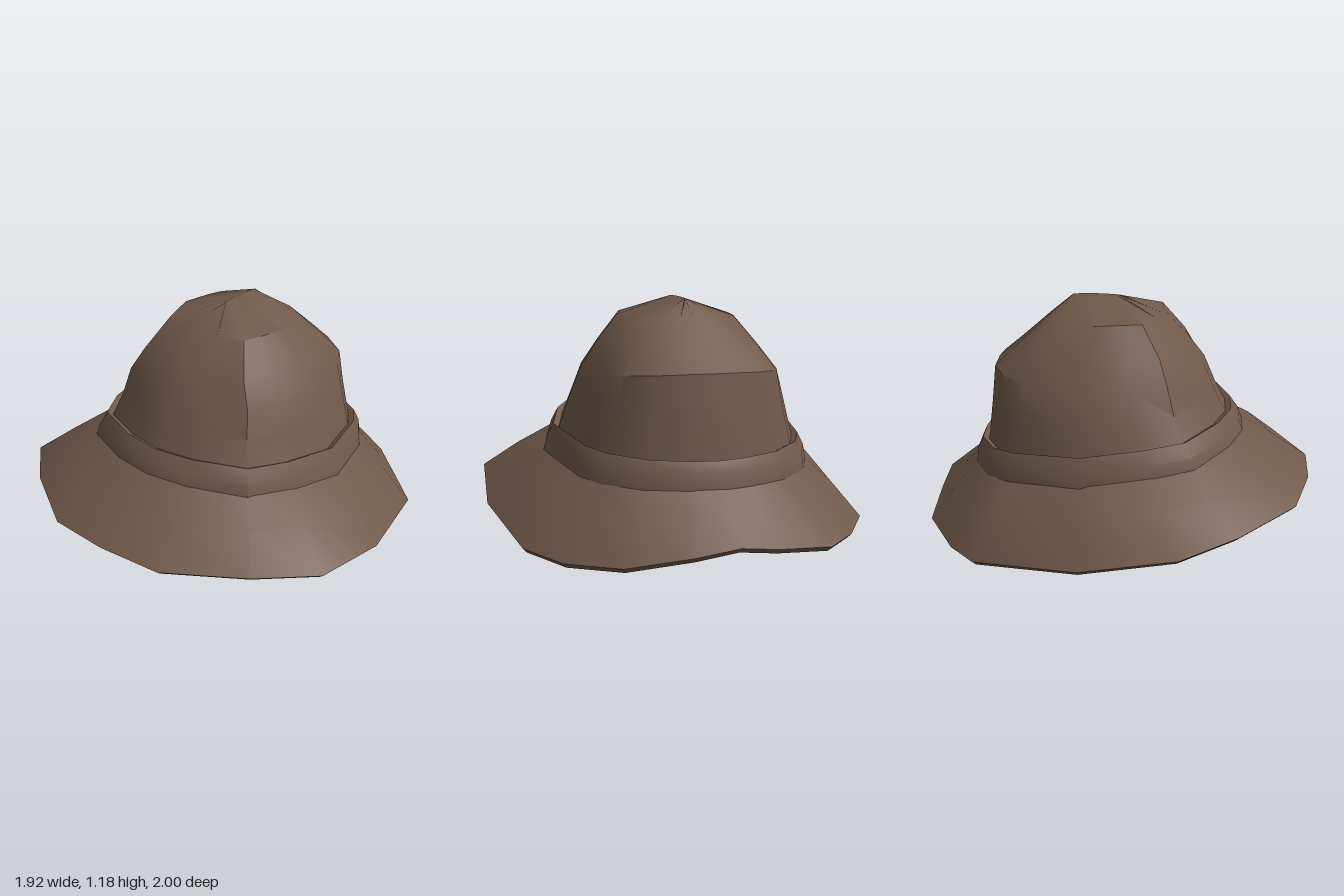
import * as THREE from 'three';
import { toCreasedNormals } from 'three/addons/utils/BufferGeometryUtils.js';

// Half outline of the brim edge, from front to back: x, y, z
const EDGE = [
  [0, 0.285, 1], [0.32, 0.27, 0.965], [0.68, 0.26, 0.74], [0.92, 0.24, 0.51], [0.96, 0.135, 0.05],
  [0.87, 0.055, -0.5], [0.72, 0.025, -0.68], [0.5, 0.045, -0.89], [0.2, 0.085, -0.965], [0, 0.12, -1],
];
// How far each column stands out from a plain oval, giving soft corners
const CORNER = [0, 0, 0.05, 0, 0, 0.01, 0.04, 0.03, 0, 0];

// Complete a half ring by mirroring it to -x
function mirror(half) {
  const back = half.slice(1, -1).reverse().map(([x, y, z]) => [-x, y, z]);
  return [...half, ...back];
}

// Tilted oval: half width, front z, back z, heights at front, side and back, squareness
function ring([w, zf, zb, yf, ys, yb, square = 1]) {
  return mirror(EDGE.map(([ex, , ez], i) => {
    const a = Math.atan2(ex, ez), t = Math.cos(a), k = 1 + CORNER[i] * square;
    const y = ys + (yf - yb) / 2 * t + ((yf + yb) / 2 - ys) * t * t;
    return [w * k * Math.sin(a), y, (zf + zb) / 2 + (zf - zb) / 2 * k * t];
  }));
}

// Ring halfway between two others, arched a little towards the sides
const between = (a, b) => a.map(([x, y, z], i) => {
  const mx = (x + b[i][0]) / 2;
  return [mx, (y + b[i][1]) / 2 + 0.03 * Math.abs(mx), (z + b[i][2]) / 2];
});

// Skin a list of rings
function skin(rings) {
  const n = rings[0].length, index = [];
  for (let i = 0; i < rings.length - 1; i++) {
    for (let j = 0; j < n; j++) {
      const k = (j + 1) % n;
      const a = i * n + j, b = a + n, c = (i + 1) * n + k, d = i * n + k;
      index.push(a, b, c, a, c, d);
    }
  }
  const geo = new THREE.BufferGeometry();
  geo.setAttribute('position', new THREE.Float32BufferAttribute(rings.flat(2), 3));
  geo.setIndex(index);
  return toCreasedNormals(geo, 0.6);
}

export function createModel() {
  const hat = new THREE.Group();
  hat.name = 'hat';
  const felt = new THREE.MeshStandardMaterial({ color: 0x70594a });
  felt.name = 'brown felt';

  const add = (name, rings) => {
    const mesh = new THREE.Mesh(skin(rings), felt);
    mesh.name = name;
    hat.add(mesh);
  };

  // Crown: a short ridge on top, widening down to the band
  add('crown', [
    [0, 0, -0.25, 1.18, 1.18, 1.17],
    [0.3, 0.22, -0.36, 1.1, 1.09, 1.08, 2.5],
    [0.41, 0.36, -0.52, 0.95, 0.95, 0.94, 2],
    [0.5, 0.44, -0.64, 0.85, 0.82, 0.84, 1.5],
    [0.55, 0.5, -0.665, 0.71, 0.68, 0.65],
    [0.61, 0.57, -0.69, 0.58, 0.5, 0.42],
  ].map(ring));

  // Band: a bulging strip around the foot of the crown
  add('band', [
    [0.6, 0.55, -0.68, 0.6, 0.52, 0.43],
    [0.63, 0.585, -0.72, 0.62, 0.54, 0.45],
    [0.665, 0.63, -0.745, 0.56, 0.47, 0.4],
    [0.68, 0.65, -0.755, 0.51, 0.4, 0.32],
    [0.63, 0.6, -0.71, 0.5, 0.39, 0.31],
  ].map(ring));

  // Brim: slopes out from under the band, with a thin turned edge
  const root = ring([0.66, 0.63, -0.735, 0.52, 0.42, 0.34]);
  const edge = mirror(EDGE);
  const lip = edge.map(([x, y, z]) => [x * 0.975, y - 0.025, z * 0.975]);
  const inner = ring([0.62, 0.58, -0.69, 0.48, 0.38, 0.3]);
  add('brim', [root, between(root, edge), edge, lip, between(lip, inner), inner]);

  // Lining: a rounded hollow following the inside of the crown
  add('lining', [
    inner,
    ...[
      [0.56, 0.52, -0.64, 0.58, 0.5, 0.43],
      [0.51, 0.46, -0.62, 0.7, 0.66, 0.63],
      [0.45, 0.39, -0.58, 0.83, 0.81, 0.81, 1.5],
      [0.36, 0.31, -0.46, 0.93, 0.94, 0.92, 2],
      [0.25, 0.18, -0.32, 1.06, 1.06, 1.05, 2.5],
      [0, 0, -0.22, 1.13, 1.13, 1.12],
    ].map(ring),
  ]);

  return hat;
}
